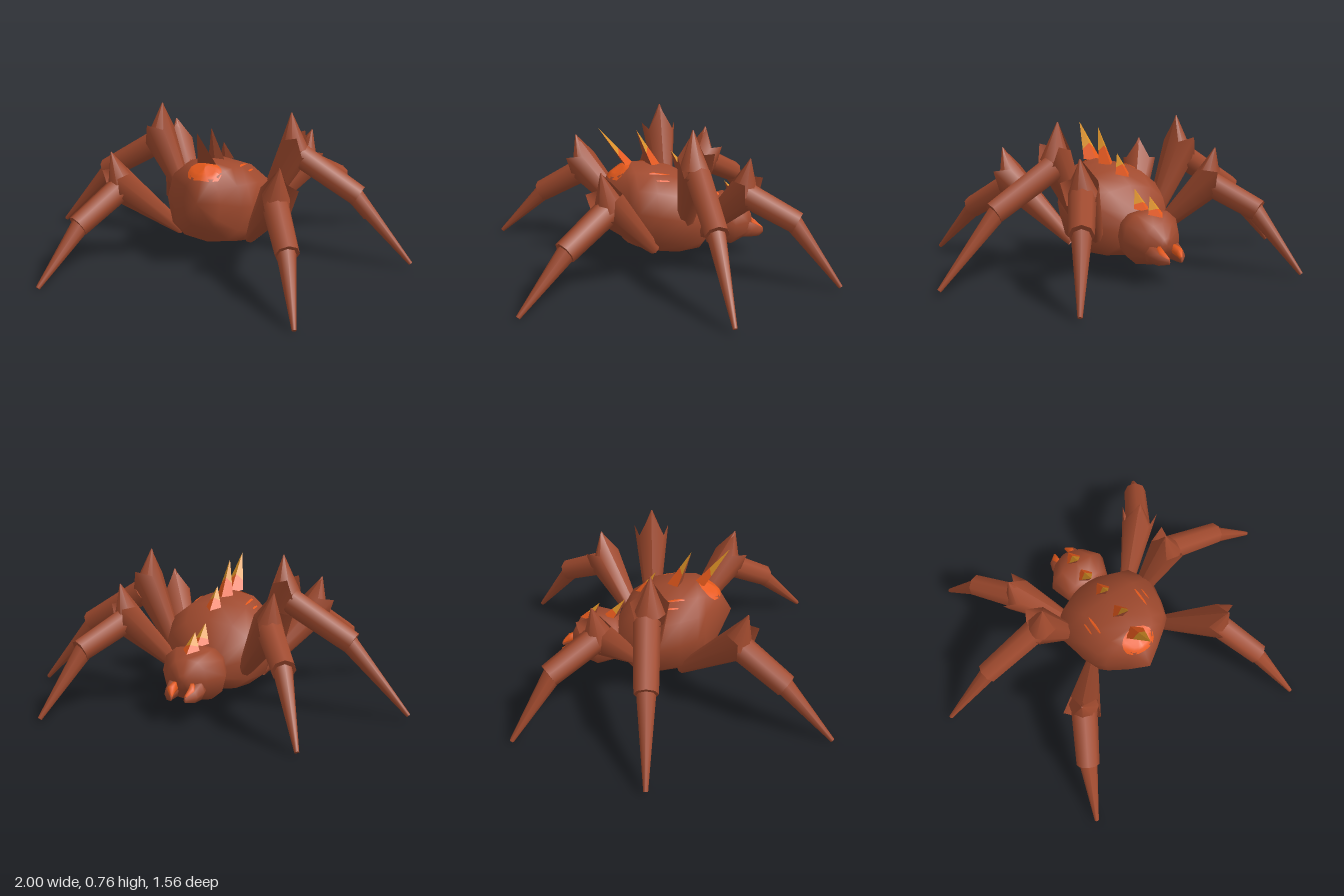
import * as THREE from 'three';
import { mergeVertices } from 'three/addons/utils/BufferGeometryUtils.js';

const material = (name, color) => {
  const m = new THREE.MeshStandardMaterial({ color, side: THREE.DoubleSide });
  m.name = name;
  return m;
};
const V = (x, y, z) => new THREE.Vector3(x, y, z);

// Rounded cross-sections along z: each ring is [z, halfWidth, yBottom, yTop, centreX]
function loft(rings, sides = 12, lowPower = 0.72, topPower = 0.92) {
  const pos = [], index = [];
  const bend = (v, power) => Math.sign(v) * Math.abs(v) ** power;
  const ends = [rings[0], rings[rings.length - 1]].map(([z, , b, t, cx = 0]) => [z, 0, (b + t) / 2, (b + t) / 2, cx]);
  const all = [ends[0], ...rings, ends[1]];
  all.forEach(([z, w, b, t, cx = 0]) => {
    for (let j = 0; j < sides; j++) {
      const a = (j / sides) * Math.PI * 2;
      const power = j < sides / 2 ? topPower : lowPower;
      pos.push(cx + w * bend(Math.cos(a), power), (b + t) / 2 + ((t - b) / 2) * bend(Math.sin(a), power), z);
    }
  });
  for (let i = 0; i < all.length - 1; i++) {
    for (let j = 0; j < sides; j++) {
      const a = i * sides + j, b = i * sides + ((j + 1) % sides);
      index.push(a, b, a + sides, b, b + sides, a + sides);
    }
  }
  const g = new THREE.BufferGeometry();
  g.setAttribute('position', new THREE.Float32BufferAttribute(pos, 3));
  g.setIndex(index);
  const merged = mergeVertices(g);
  merged.computeVertexNormals();
  return merged;
}

// Tapered limb from a to b; local +z is the side turned upward
function limb(a, b, r0, r1, crown) {
  const length = a.distanceTo(b);
  const g = new THREE.CylinderGeometry(r1, r0, length, 8, 1, !!crown);
  g.translate(0, length / 2, 0);
  if (crown) {
    // pull the far rim out into points
    const p = g.attributes.position;
    for (let i = 0; i < 9; i++) p.setY(i, p.getY(i) + crown[i % 8]);
    g.computeVertexNormals();
  }
  const y = b.clone().sub(a).normalize();
  const z = V(0, 1, 0).addScaledVector(y, -y.y).normalize();
  const x = y.clone().cross(z);
  g.applyMatrix4(new THREE.Matrix4().makeBasis(x, y, z).setPosition(a));
  return g;
}

export function createModel() {
  const model = new THREE.Group();
  const shell = material('rust brown shell', 0xa04a2e);
  const orange = material('bright orange', 0xe85a1c);
  const gold = material('amber gold', 0xdb9126);

  const add = (name, geometry, mat, parent = model) => {
    const mesh = new THREE.Mesh(geometry, mat);
    mesh.name = name;
    parent.add(mesh);
    return mesh;
  };

  // Body
  const abdomen = add('abdomen', loft([
    [-0.28, 0.1, 0.12, 0.3],
    [-0.2, 0.235, 0.072, 0.43],
    [-0.08, 0.288, 0.065, 0.5],
    [0.04, 0.262, 0.075, 0.525],
    [0.13, 0.23, 0.1, 0.53],
    [0.17, 0.185, 0.115, 0.522],
    [0.24, 0.097, 0.21, 0.48],
    [0.31, 0, 0.36, 0.36],
  ]), shell);
  add('head', loft([
    [-0.24, 0.08, 0.12, 0.27],
    [-0.29, 0.13, 0.085, 0.32],
    [-0.39, 0.165, 0.065, 0.338],
    [-0.48, 0.1, 0.095, 0.29],
    [-0.52, 0.03, 0.15, 0.22],
  ], 12, 0.85, 0.85), shell);

  // Jaws curving inward, with orange upper inner edges
  for (const s of [1, -1]) {
    add('jaw', loft([
      [-0.585, 0.006, 0.11, 0.135, s * 0.036],
      [-0.55, 0.024, 0.1, 0.162, s * 0.06],
      [-0.5, 0.036, 0.1, 0.188, s * 0.064],
      [-0.46, 0.036, 0.1, 0.2, s * 0.06],
    ], 6, 1, 1), shell);
    add('jawEdge', loft([
      [-0.58, 0.008, 0.122, 0.144, s * 0.037],
      [-0.55, 0.022, 0.122, 0.173, s * 0.052],
      [-0.515, 0.017, 0.13, 0.19, s * 0.045],
    ], 6, 1, 1), orange);
  }

  // Back spikes: shell-coloured front, orange-to-gold rear faces
  const spike = (y, sideZ, frontZ, backZ, width, tipY, tipZ, split) => {
    const group = new THREE.Group();
    group.name = 'backSpike';
    const tip = V(0, tipY, tipZ), front = V(0, y, frontZ), back = V(0, y - 0.015, backZ);
    const face = (name, mat, ...pts) => {
      const g = new THREE.BufferGeometry().setFromPoints(pts);
      g.computeVertexNormals();
      add(name, g, mat, group);
    };
    for (const s of [1, -1]) {
      const side = V(s * width, y - 0.005, sideZ);
      const tri = (a, b, c) => (s > 0 ? [a, b, c] : [a, c, b]);
      const midSide = side.clone().lerp(tip, split), midBack = back.clone().lerp(tip, split + 0.2);
      face('spikeFront', shell, ...tri(front, side, tip));
      face('spikeBase', orange, ...tri(side, back, midSide), ...tri(back, midBack, midSide));
      face('spikeTip', gold, ...tri(midSide, midBack, tip));
    }
    model.add(group);
  };
  spike(0.53, 0.165, 0.175, 0.11, 0.05, 0.71, 0.292, 0.26);
  spike(0.522, 0.03, 0.055, -0.025, 0.043, 0.695, 0.1, 0.33);
  spike(0.485, -0.13, -0.105, -0.185, 0.04, 0.58, -0.08, 0.33);
  spike(0.335, -0.3, -0.27, -0.36, 0.042, 0.42, -0.24, 0.22);
  spike(0.327, -0.42, -0.395, -0.478, 0.042, 0.4, -0.372, 0.22);

  // Painted markings laid onto the abdomen
  model.updateMatrixWorld(true);
  const ray = new THREE.Raycaster();
  const marking = (name, cx, cz, rx, rz) => {
    const g = new THREE.RingGeometry(0.001, 1, 16, 5).rotateX(-Math.PI / 2);
    const p = g.attributes.position;
    for (let i = 0; i < p.count; i++) {
      const x = cx + p.getX(i) * rx, z = cz + p.getZ(i) * rz;
      ray.set(V(x, 2, z), V(0, -1, 0));
      const hit = ray.intersectObject(abdomen)[0];
      p.setXYZ(i, x, (hit ? hit.point.y : 0.45) + 0.004, z);
    }
    g.computeVertexNormals();
    add(name, g, orange);
  };
  marking('tailPatch', 0, 0.195, 0.088, 0.058);
  for (const s of [1, -1]) {
    marking('sideStreak', s * 0.14, 0.01, 0.006, 0.055);
    marking('sideStreak', s * 0.175, 0.0, 0.004, 0.035);
  }

  // Legs: root, knee, knee spike tip, start of shin, ankle and foot
  const legs = {
    frontLeg: [[0.19, 0.12, 0.05], [0.4, 0.42, 0.31], [0.432, 0.592, 0.353],
      [0.405, 0.4, 0.32], [0.53, 0.255, 0.54], [0.632, 0.005, 0.767]],
    middleLeg: [[0.19, 0.18, -0.1], [0.37, 0.57, -0.105], [0.355, 0.757, -0.102],
      [0.4, 0.535, -0.12], [0.71, 0.35, -0.122], [0.99, 0.022, -0.125]],
    rearLeg: [[0.17, 0.16, -0.17], [0.365, 0.44, -0.355], [0.395, 0.612, -0.378],
      [0.375, 0.43, -0.365], [0.51, 0.31, -0.585], [0.63, 0.012, -0.772]],
  };
  const crown = [0.15, 0.03, 0.085, 0.0, 0.0, 0.0, 0.085, 0.03];
  for (const [name, points] of Object.entries(legs)) {
    for (const s of [1, -1]) {
      const leg = new THREE.Group();
      leg.name = name;
      const [root, knee, spikeTip, shinTop, ankle, foot] = points.map(([x, y, z]) => V(s * x, y, z));
      add('thigh', limb(root, knee, 0.03, 0.092, crown), shell, leg);
      add('kneeSpike', limb(knee, spikeTip, 0.075, 0.003), shell, leg);
      add('shin', limb(shinTop, ankle, 0.066, 0.058), shell, leg);
      const start = ankle.clone().lerp(shinTop, 0.12);
      add('claw', limb(start, foot, 0.049, 0.011), shell, leg);
      model.add(leg);
    }
  }
  return model;
}
